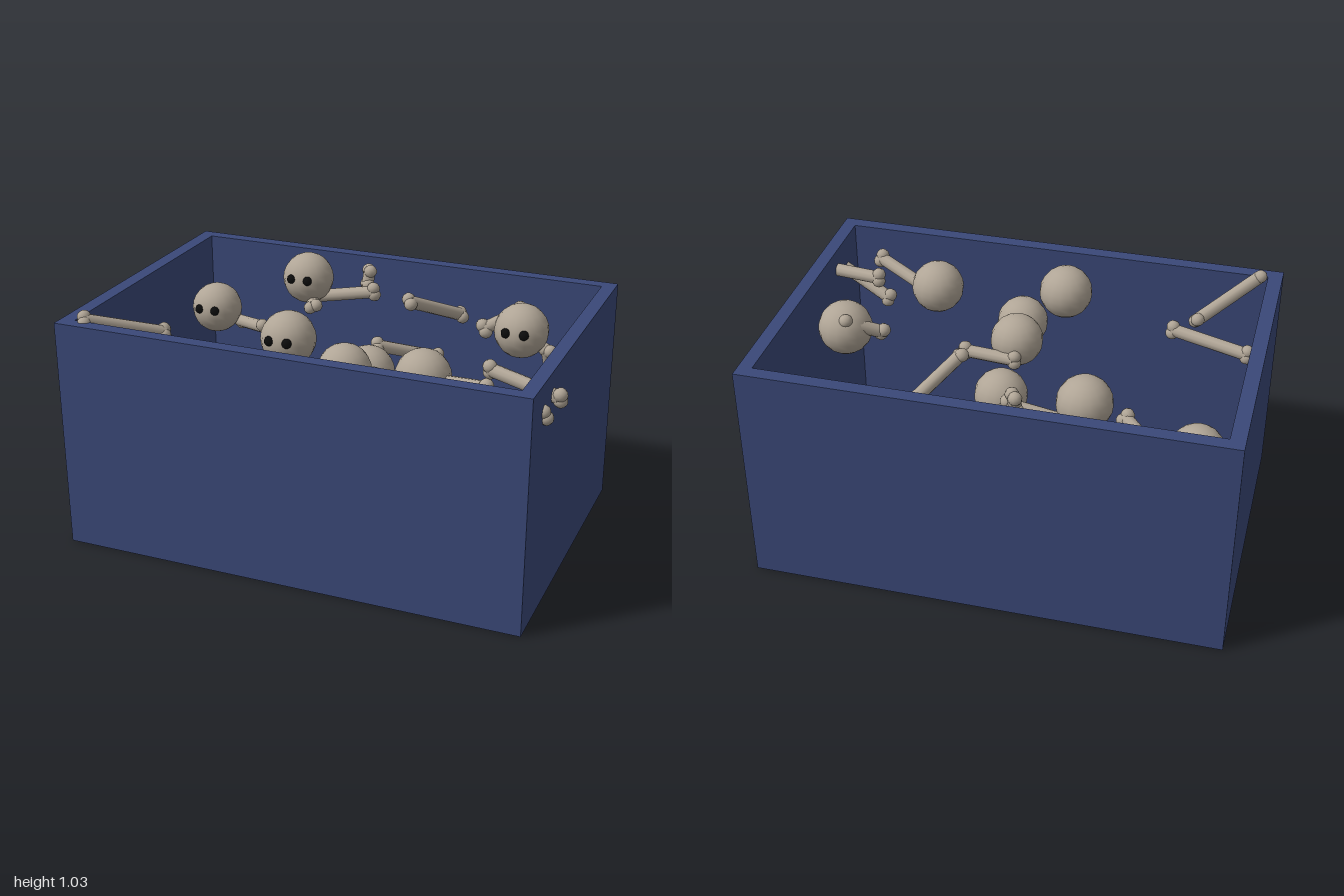
import * as THREE from 'three';

const blue = new THREE.MeshStandardMaterial({ color: 0x3a4878, name: 'crateBlue' });
const bone = new THREE.MeshStandardMaterial({ color: 0xb0a596, name: 'bone' });
const black = new THREE.MeshStandardMaterial({ color: 0x0c0c0c, name: 'eyeBlack' });

function add(parent, name, geometry, material, x = 0, y = 0, z = 0) {
  const mesh = new THREE.Mesh(geometry, material);
  mesh.name = name;
  mesh.position.set(x, y, z);
  parent.add(mesh);
  return mesh;
}

// Rectangular outline on the ground plane
function rectangle(Type, x0, x1, z0, z1) {
  const path = new Type();
  path.moveTo(x0, -z1);
  path.lineTo(x1, -z1);
  path.lineTo(x1, -z0);
  path.lineTo(x0, -z0);
  path.closePath();
  return path;
}

// Open crate: a ring of walls standing around a floor plate
function crate() {
  const group = new THREE.Group();
  group.name = 'crate';
  const ring = rectangle(THREE.Shape, -1, 0.935, -0.645, 0.64);
  ring.holes.push(rectangle(THREE.Path, -0.94, 0.878, -0.588, 0.582));
  const walls = new THREE.ExtrudeGeometry(ring, { depth: 0.968, bevelEnabled: false });
  walls.rotateX(-Math.PI / 2);
  add(group, 'walls', walls, blue);
  add(group, 'floor', new THREE.BoxGeometry(1.818, 0.058, 1.17), blue, -0.031, 0.029, -0.003);
  return group;
}

// Round skull with two dark eyes facing the front
const headGeometry = new THREE.SphereGeometry(0.11, 16, 12);
const eyeGeometry = new THREE.SphereGeometry(0.02, 10, 8);
function skull([x, y, z]) {
  const group = new THREE.Group();
  group.name = 'skull';
  group.position.set(x, y, z);
  add(group, 'head', headGeometry, bone);
  for (const side of [-1, 1]) add(group, 'eye', eyeGeometry, black, side * 0.037, 0.018, 0.098);
  return group;
}

// Long bone: a shaft between two points with a pair of knuckles at each end
const knuckleGeometry = new THREE.SphereGeometry(0.028, 10, 8);
function longBone([ax, ay, az, bx, by, bz]) {
  const group = new THREE.Group();
  group.name = 'longBone';
  const a = new THREE.Vector3(ax, ay, az);
  const b = new THREE.Vector3(bx, by, bz);
  const axis = b.clone().sub(a);
  const length = axis.length();
  group.position.copy(a).add(b).multiplyScalar(0.5);
  group.quaternion.setFromUnitVectors(new THREE.Vector3(0, 1, 0), axis.normalize());
  add(group, 'shaft', new THREE.CylinderGeometry(0.027, 0.027, length, 10), bone);
  for (const end of [-1, 1]) {
    for (const side of [-1, 1]) {
      add(group, 'knuckle', knuckleGeometry, bone, side * 0.014, end * length / 2, 0);
    }
  }
  return group;
}

export function createModel() {
  const model = new THREE.Group();
  model.name = 'boneCrate';
  model.add(crate());

  // Skull centres
  const skulls = [
    [-0.805, 0.72, -0.36], [-0.375, 0.902, -0.405], [0.037, 0.65, -0.08], [0.037, 0.756, 0.18],
    [0.67, 0.906, -0.13], [-0.134, 0.923, 0.335], [0.086, 0.66, 0.475], [0.428, 0.857, 0.35],
  ];
  for (const centre of skulls) model.add(skull(centre));

  // Bone end points
  const bones = [
    [-0.72, 0.65, -0.41, -0.5, 0.72, -0.21],
    [-0.36, 0.81, -0.425, -0.08, 0.865, -0.435],
    [-0.12, 0.94, -0.485, -0.125, 0.88, -0.475],
    [-0.315, 0.805, -0.315, -0.36, 0.83, -0.42],
    [0.005, 0.69, -0.265, 0.21, 0.595, -0.465],
    [0.158, 0.92, -0.235, 0.31, 0.805, -0.465],
    [0.72, 0.74, -0.365, 0.742, 0.47, -0.465],
    [0.52, 0.898, -0.115, 0.65, 0.965, -0.19],
    [0.02, 0.725, 0.07, 0.24, 0.715, 0.105],
    [0.45, 0.84, 0.33, 0.715, 0.897, 0.455],
    [0.67, 0.9, 0.285, 0.965, 0.867, 0.37],
    [0.665, 0.745, 0.385, 0.938, 0.84, 0.478],
    [-0.905, 0.74, 0.325, -0.58, 0.757, 0.413],
    [-0.905, 0.97, 0.57, -0.685, 0.867, 0.335],
  ];
  for (const ends of bones) model.add(longBone(ends));
  return model;
}
